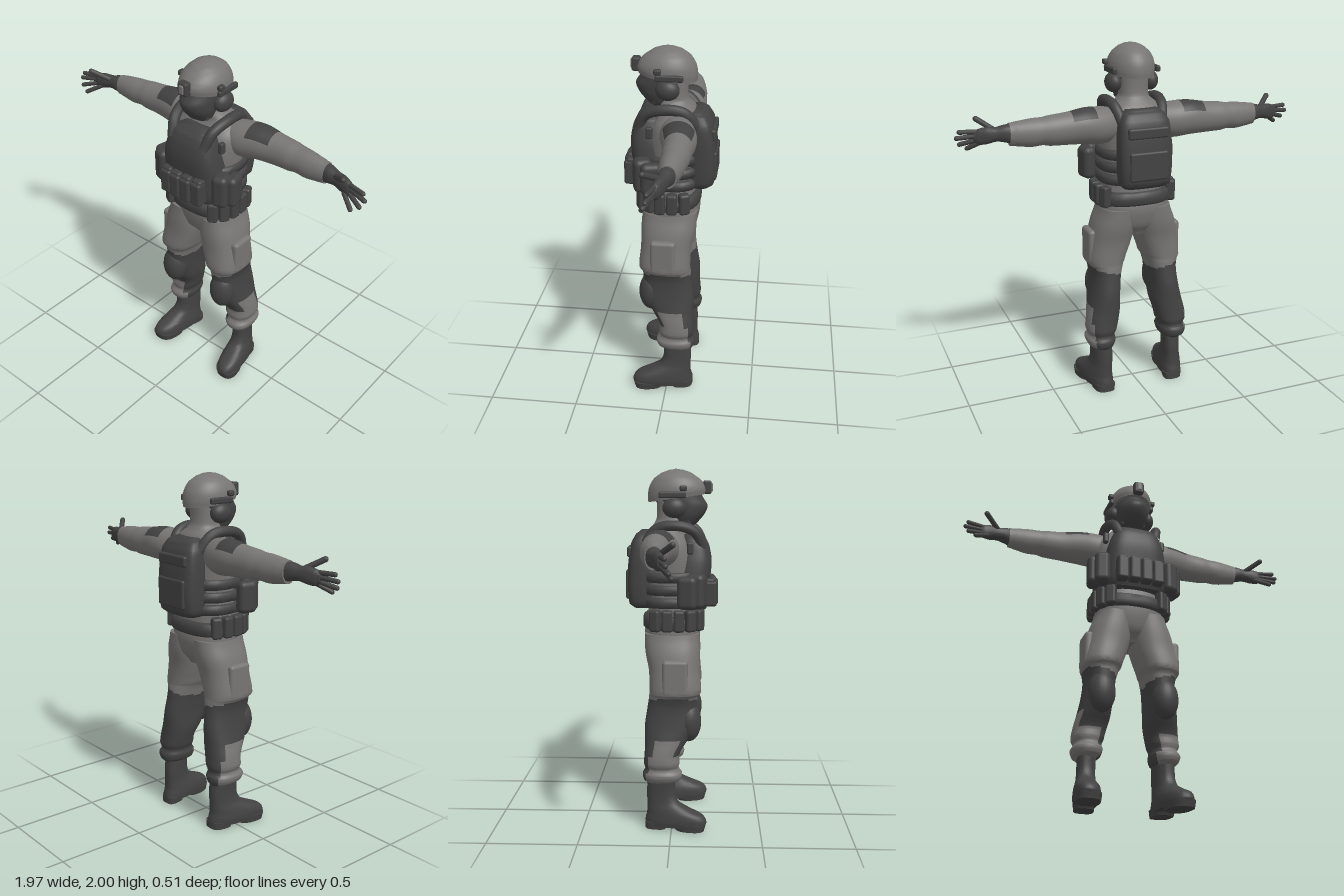
import * as THREE from 'three';
import { toCreasedNormals } from 'three/addons/utils/BufferGeometryUtils.js';
import { RoundedBoxGeometry } from 'three/addons/geometries/RoundedBoxGeometry.js';

// Stack of superellipse rings along y (rows: y, x0, x1, z0, z1) or x (rows: x, y0, y1, z0, z1).
// pick(s, angle) returns the material index of a face.
function loft(axis, rows, { n = 2, seg = 32, sub = 4, pick = () => 0, bend = null } = {}) {
  const rings = [];
  const at = i => rows[Math.max(0, Math.min(rows.length - 1, i))];
  for (let i = 0; i < rows.length - 1; i++) {
    for (let k = 0; k < sub; k++) {
      const t = k / sub;
      rings.push(rows[i].map((_, c) => {
        const [a, b, d, e] = [at(i - 1)[c], at(i)[c], at(i + 1)[c], at(i + 2)[c]];
        if (c === 0) return b + (d - b) * t;
        return b + 0.5 * t * (d - a + t * (2 * a - 5 * b + 4 * d - e + t * (3 * (b - d) + e - a)));
      }));
    }
  }
  rings.push(rows[rows.length - 1]);
  const pos = [];
  const put = (s, p, q) => {
    const v = axis === 'y' ? new THREE.Vector3(p, s, q) : new THREE.Vector3(s, p, q);
    if (bend) bend(v);
    pos.push(v.x, v.y, v.z);
  };
  const round = c => Math.sign(c) * Math.abs(c) ** (2 / n);
  for (const [s, p0, p1, q0, q1] of rings) {
    for (let j = 0; j < seg; j++) {
      const a = j / seg * Math.PI * 2;
      // angle 0 is the front for upright lofts and the top for sideways lofts
      const c = round(Math.cos(a)), d = round(Math.sin(a));
      const [p, q] = axis === 'y' ? [d, c] : [c, d];
      put(s, (p0 + p1) / 2 + p * (p1 - p0) / 2, (q0 + q1) / 2 + q * (q1 - q0) / 2);
    }
  }
  const ends = [rings[0], rings[rings.length - 1]];
  ends.forEach(([s, p0, p1, q0, q1]) => put(s, (p0 + p1) / 2, (q0 + q1) / 2));
  const faces = [[], []], last = (rings.length - 1) * seg, cap = rings.length * seg;
  for (let j = 0; j < seg; j++) {
    const k = (j + 1) % seg;
    for (let i = 0; i < rings.length - 1; i++) {
      const a = i * seg + j, b = i * seg + k, s = (rings[i][0] + rings[i + 1][0]) / 2;
      const ang = (j + 0.5) / seg * Math.PI * 2;
      faces[pick(s, ang > Math.PI ? ang - 2 * Math.PI : ang)].push(a, b, b + seg, a, b + seg, a + seg);
    }
    faces[0].push(cap, k, j, cap + 1, last + j, last + k);
  }
  const g = new THREE.BufferGeometry();
  g.setAttribute('position', new THREE.Float32BufferAttribute(pos, 3));
  g.setIndex([...faces[0], ...faces[1]]);
  g.addGroup(0, faces[0].length, 0);
  if (faces[1].length) g.addGroup(faces[0].length, faces[1].length, 1);
  return toCreasedNormals(g, 0.9);
}

function box(w, h, d, x, y, z, r = 0.015, ry = 0) {
  const g = new RoundedBoxGeometry(w, h, d, 3, r);
  g.clearGroups();
  return g.rotateY(ry).translate(x, y, z);
}

function capsule(a, b, r) {
  const p = new THREE.Vector3(...a), q = new THREE.Vector3(...b), dir = q.clone().sub(p);
  const g = new THREE.CapsuleGeometry(r, dir.length() - r, 5, 12);
  g.applyQuaternion(new THREE.Quaternion().setFromUnitVectors(new THREE.Vector3(0, 1, 0), dir.normalize()));
  return g.translate(...p.add(q).multiplyScalar(0.5).toArray());
}

function mirror(geo) {
  const g = geo.index ? geo.toNonIndexed() : geo.clone();
  g.scale(-1, 1, 1);
  g.deleteAttribute('uv');
  for (const { array } of [g.attributes.position, g.attributes.normal]) {
    for (let i = 0; i < array.length; i += 9) {
      for (let c = 3; c < 6; c++) [array[i + c], array[i + c + 3]] = [array[i + c + 3], array[i + c]];
    }
  }
  return g;
}

export function createModel() {
  const model = new THREE.Group();
  const material = (name, color) => Object.assign(new THREE.MeshStandardMaterial({ color }), { name });
  const cloth = material('grey cloth', 0x777574), dark = material('dark gear', 0x424242);
  const add = (name, geo, mat) => {
    const m = new THREE.Mesh(geo, mat);
    m.name = name;
    model.add(m);
  };
  const pair = (name, geo, mat) => {
    add(name + 'Left', geo, mat);
    add(name + 'Right', mirror(geo), mat);
  };

  // Shirt, pelvis and neck
  add('torso', loft('y', [[0.94, -0.07, 0.07, -0.1, 0.08], [1.0, -0.17, 0.17, -0.14, 0.13], [1.1, -0.205, 0.205, -0.16, 0.155],
    [1.2, -0.185, 0.185, -0.14, 0.155], [1.35, -0.185, 0.185, -0.15, 0.13], [1.5, -0.2, 0.2, -0.16, 0.13],
    [1.6, -0.2, 0.2, -0.155, 0.1], [1.67, -0.14, 0.14, -0.13, 0.06], [1.71, -0.09, 0.09, -0.1, 0.07],
    [1.74, -0.08, 0.08, -0.09, 0.06], [1.86, -0.08, 0.08, -0.09, 0.06]], { n: 2.3 }), cloth);

  // Trousers with dark knee and calf panels
  const legPick = (y, a) => {
    if (y > 0.755 - 0.025 * (1 - Math.sin(a))) return 0;
    const outerStripe = y < 0.53 && a > 1.0 && a < 2.1;
    const shin = y < 0.43 && a > -0.5 && a < 2.3;
    return outerStripe || shin || (y < 0.33 && a > -1 && a < 2.5) ? 0 : 1;
  };
  pair('trouserLeg', loft('y', [[0.27, 0.17, 0.27, -0.14, 0.02], [0.285, 0.15, 0.295, -0.155, 0.05], [0.32, 0.14, 0.307, -0.162, 0.06],
    [0.35, 0.145, 0.292, -0.148, 0.04], [0.38, 0.132, 0.304, -0.155, 0.045], [0.43, 0.12, 0.3, -0.152, 0.045],
    [0.5, 0.105, 0.285, -0.15, 0.085], [0.6, 0.1, 0.265, -0.15, 0.135], [0.7, 0.09, 0.255, -0.135, 0.14],
    [0.755, 0.075, 0.265, -0.128, 0.145], [0.78, 0.06, 0.28, -0.125, 0.163], [0.9, 0.02, 0.262, -0.13, 0.155],
    [1.0, 0, 0.24, -0.15, 0.155], [1.1, 0, 0.205, -0.155, 0.15]], { n: 2.4, seg: 40, sub: 5, pick: legPick }), [cloth, dark]);
  pair('cargoPocket', box(0.05, 0.2, 0.14, 0.253, 0.87, 0.02, 0.02), cloth);
  pair('kneePad', new THREE.SphereGeometry(1, 24, 16).scale(0.075, 0.115, 0.07).translate(0.182, 0.61, 0.095), dark);

  // Boots, toes turned slightly outward
  const toeOut = v => { v.x += 0.15 * v.z; };
  pair('boot', loft('y', [[0.02, 0.165, 0.3, -0.148, 0.19], [0.05, 0.162, 0.305, -0.148, 0.198], [0.085, 0.165, 0.302, -0.14, 0.175],
    [0.115, 0.172, 0.295, -0.138, 0.11], [0.15, 0.178, 0.285, -0.138, 0.045], [0.2, 0.178, 0.28, -0.14, 0.02],
    [0.3, 0.178, 0.28, -0.135, 0.02]], { n: 2.5, bend: toeOut }), dark);
  pair('soleFront', loft('y', [[0, 0.168, 0.3, 0.02, 0.185], [0.04, 0.162, 0.305, 0.0, 0.195]], { n: 2.6, bend: toeOut }), dark);
  pair('heel', loft('y', [[0, 0.178, 0.288, -0.15, -0.03], [0.04, 0.172, 0.292, -0.15, -0.01]], { n: 3, bend: toeOut }), dark);

  // Sleeves with a dark shoulder patch
  const sleevePick = (x, a) => (x > 0.25 && x < 0.39 && Math.abs(a) < 1.1 ? 1 : 0);
  pair('sleeve', loft('x', [[0.08, 1.5, 1.66, -0.12, 0.03], [0.2, 1.475, 1.675, -0.155, 0.04], [0.3, 1.485, 1.68, -0.165, 0.02],
    [0.4, 1.49, 1.665, -0.155, 0], [0.5, 1.493, 1.655, -0.15, -0.005], [0.54, 1.5, 1.648, -0.143, -0.01],
    [0.6, 1.495, 1.645, -0.135, -0.01], [0.68, 1.505, 1.635, -0.12, -0.018], [0.715, 1.51, 1.63, -0.112, -0.022]],
  { seg: 36, sub: 6, pick: sleevePick }), [cloth, dark]);

  // Gloves
  pair('glove', loft('x', [[0.7, 1.52, 1.625, -0.108, -0.027], [0.74, 1.53, 1.62, -0.1, -0.02], [0.78, 1.535, 1.61, -0.085, -0.02],
    [0.83, 1.523, 1.612, -0.07, -0.012], [0.87, 1.522, 1.602, -0.052, -0.01], [0.89, 1.54, 1.585, -0.04, -0.018]], { n: 2.3 }), dark);
  const fingers = {
    index: [[0.85, 1.588, -0.032], [0.965, 1.588, -0.002]],
    middle: [[0.86, 1.568, -0.03], [0.98, 1.555, 0.003]],
    ring: [[0.86, 1.548, -0.028], [0.963, 1.518, 0.018]],
    little: [[0.84, 1.537, -0.025], [0.922, 1.49, 0.03]],
    thumb: [[0.78, 1.59, -0.04], [0.868, 1.648, 0.035]],
  };
  for (const [name, [a, b]] of Object.entries(fingers)) pair(name + 'Finger', capsule(a, b, name === 'thumb' ? 0.015 : 0.0125), dark);

  // Masked face and helmet
  add('maskedFace', loft('y', [[1.68, -0.045, 0.045, 0.03, 0.1], [1.7, -0.07, 0.07, 0, 0.13], [1.75, -0.09, 0.09, -0.03, 0.172],
    [1.8, -0.097, 0.097, -0.08, 0.192], [1.84, -0.1, 0.1, -0.1, 0.17], [1.88, -0.1, 0.1, -0.1, 0.15]]), dark);
  const tilt = v => { v.y += 0.14 * v.z * Math.max(0, Math.min(1, (1.96 - v.y) / 0.12)); };
  add('helmet', loft('y', [[1.838, -0.122, 0.122, -0.138, 0.18], [1.87, -0.126, 0.126, -0.14, 0.184], [1.91, -0.12, 0.12, -0.132, 0.172],
    [1.95, -0.1, 0.1, -0.105, 0.142], [1.98, -0.066, 0.066, -0.062, 0.1], [1.994, -0.035, 0.035, -0.022, 0.06],
    [2, -0.005, 0.005, 0.012, 0.022]], { seg: 40, bend: tilt }), cloth);
  add('helmetMount', box(0.06, 0.075, 0.045, 0, 1.9, 0.19, 0.012), dark);
  add('mountPlate', box(0.03, 0.05, 0.02, 0, 1.9, 0.21, 0.008), cloth);
  pair('helmetRail', box(0.025, 0.035, 0.15, 0.126, 1.86, 0.0, 0.01), dark);
  pair('railClip', box(0.03, 0.03, 0.04, 0.132, 1.895, 0.06, 0.01), dark);
  pair('earCup', new THREE.SphereGeometry(1, 24, 16).scale(0.045, 0.055, 0.065).translate(0.107, 1.79, 0.01), dark);
  pair('chinStrap', capsule([0.097, 1.82, 0.05], [0.06, 1.7, 0.09], 0.012), dark);

  // Armoured vest, straps and side bands
  add('chestPlate', loft('y', [[1.235, -0.165, 0.165, 0, 0.19], [1.26, -0.175, 0.175, 0, 0.2], [1.4, -0.178, 0.178, 0, 0.21],
    [1.5, -0.165, 0.165, 0.02, 0.217], [1.58, -0.142, 0.142, 0.04, 0.203], [1.625, -0.122, 0.122, 0.05, 0.18],
    [1.645, -0.095, 0.095, 0.06, 0.15]], { n: 3.2 }), dark);
  for (const y of [1.275, 1.345, 1.415]) {
    add('sideBand', loft('y', [[y - 0.028, -0.198, 0.198, -0.165, 0.15], [y - 0.02, -0.207, 0.207, -0.172, 0.155],
      [y + 0.02, -0.207, 0.207, -0.172, 0.155], [y + 0.028, -0.198, 0.198, -0.165, 0.15]], { n: 2.6, sub: 2 }), dark);
  }
  const strap = new THREE.CatmullRomCurve3([[0.105, 1.57, 0.17], [0.13, 1.66, 0.125], [0.148, 1.695, 0.03], [0.138, 1.68, -0.08], [0.11, 1.58, -0.16]]
    .map(p => new THREE.Vector3(...p)));
  pair('shoulderStrap', new THREE.TubeGeometry(strap, 24, 0.029, 12), dark);
  pair('shoulderPouch', box(0.03, 0.065, 0.035, 0.172, 1.575, 0.1, 0.01), dark);

  // Front, side and belt pouches
  for (let i = 0; i < 4; i++) {
    const x = (i - 1.5) * 0.07;
    add('magazinePouch', box(0.067, 0.14, 0.07, x, 1.322, 0.222 - Math.abs(x) * 0.1), dark);
    add('pouchFlap', box(0.062, 0.045, 0.06, x, 1.385, 0.215 - Math.abs(x) * 0.1), dark);
  }
  pair('sidePouchFront', box(0.09, 0.19, 0.1, 0.2, 1.345, 0.135, 0.03, 0.3), dark);
  pair('sidePouchRear', box(0.075, 0.18, 0.11, 0.24, 1.34, 0.085, 0.03, 0.2), dark);
  add('belt', loft('y', [[1.125, -0.205, 0.205, -0.16, 0.165], [1.135, -0.215, 0.215, -0.168, 0.175],
    [1.19, -0.21, 0.21, -0.166, 0.175], [1.2, -0.2, 0.2, -0.155, 0.165]], { n: 2.5, sub: 2 }), dark);
  const beltSpots = [[0.15, 0.145, 0.5], [0.19, 0.1, 1], [0.208, 0.04, 1.5], [0.208, -0.025, 1.57], [0.195, -0.09, 2]];
  for (const [x, z, turn] of beltSpots) pair('beltPouch', box(0.06, 0.12, 0.055, x, 1.18, z, 0.015, turn), dark);

  // Back pack
  add('backPack', loft('y', [[1.24, -0.12, 0.12, -0.22, -0.1], [1.26, -0.142, 0.142, -0.243, -0.1], [1.35, -0.15, 0.15, -0.255, -0.1],
    [1.5, -0.15, 0.15, -0.247, -0.1], [1.6, -0.14, 0.14, -0.23, -0.1], [1.645, -0.118, 0.118, -0.205, -0.1],
    [1.665, -0.09, 0.09, -0.18, -0.1]], { n: 3.6 }), dark);
  add('packFlap', box(0.23, 0.06, 0.03, 0, 1.55, -0.235, 0.012), dark);
  add('packPocket', box(0.22, 0.16, 0.03, 0, 1.37, -0.243, 0.012), dark);

  return model;
}
